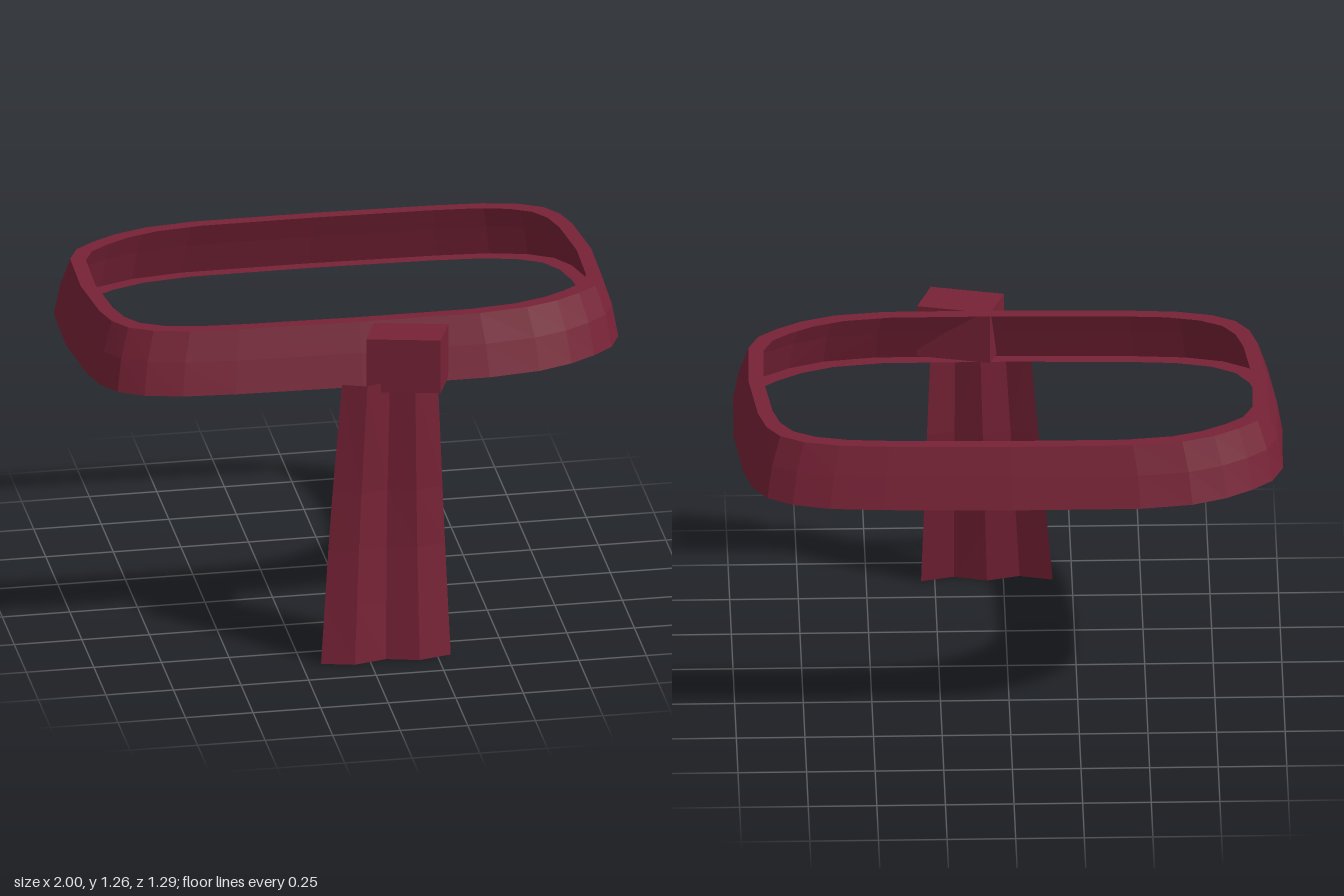
import * as THREE from 'three';

// Faceted sheet over a grid of points: rows[i][j] = [x, y, z]; a loop joins the last row to the first
function sheetGeometry(rows, loop) {
  const m = rows[0].length, n = rows.length, index = [];
  for (let i = 0; i < (loop ? n : n - 1); i++) {
    for (let j = 0; j < m - 1; j++) {
      const a = i * m + j, b = ((i + 1) % n) * m + j;
      index.push(a, a + 1, b + 1, a, b + 1, b);
    }
  }
  const geometry = new THREE.BufferGeometry();
  geometry.setAttribute('position', new THREE.Float32BufferAttribute(rows.flat(2), 3));
  geometry.setIndex(index);
  geometry.computeVertexNormals();
  return geometry;
}

export function createModel() {
  const model = new THREE.Group();
  model.name = 'sash';
  const cloth = new THREE.MeshStandardMaterial({ color: 0x782236 });
  cloth.name = 'burgundy cloth';
  cloth.flatShading = true;
  cloth.side = THREE.DoubleSide;

  const add = (name, geometry, parent = model) => {
    const mesh = new THREE.Mesh(geometry, cloth);
    mesh.name = name;
    parent.add(mesh);
    return mesh;
  };

  // Waistband: half the outline, the other half is the same turned by 180 degrees
  const half = [
    [1, 0], [0.995, 0.277], [0.955, 0.367], [0.88, 0.43], [0.785, 0.488], [0.66, 0.533], [0.47, 0.558],
    [0, 0.558], [-0.468, 0.545], [-0.66, 0.531], [-0.797, 0.499], [-0.888, 0.448], [-0.94, 0.37], [-0.97, 0.26],
  ];
  const outline = [...half, ...half.map(([x, z]) => [-x, -z])];
  // Band cross-section, [height, x scale, z scale]: bottom hem, sloping wall, top hem
  const section = [
    [1.03, 0.945, 0.925], [1.03, 1, 1], [1.15, 0.98, 0.942], [1.26, 0.945, 0.883], [1.26, 0.89, 0.807],
  ];
  add('waistband', sheetGeometry(
    outline.map(([x, z]) => section.map(([y, sx, sz]) => [x * sx, y, z * sz - 0.085])), true));

  // Knot: a turned block, widened sideways, on the front of the band
  const knot = new THREE.Group();
  knot.name = 'knot';
  knot.position.set(0.159, 1.145, 0.504);
  knot.scale.x = 1.32;
  add('knotBlock', new THREE.BoxGeometry(0.209, 0.21, 0.145), knot).rotation.y = -0.281;
  model.add(knot);

  // Hanging end: pleated strip, [height, left edge, right edge, mean z]
  const levels = [
    [0, -0.18, 0.3, 0.63], [0.22, -0.162, 0.293, 0.606], [0.43, -0.145, 0.287, 0.584],
    [0.65, -0.127, 0.28, 0.57], [1.075, -0.09, 0.265, 0.559],
  ];
  const pleats = [0, 1, 2, 3, 4].map((k) => levels.map(([y, x0, x1, z]) =>
    [x0 + (x1 - x0) * k / 4, y, z + (k % 2 ? 0.015 : -0.015)]));
  add('hangingEnd', sheetGeometry(pleats.reverse(), false));

  return model;
}
